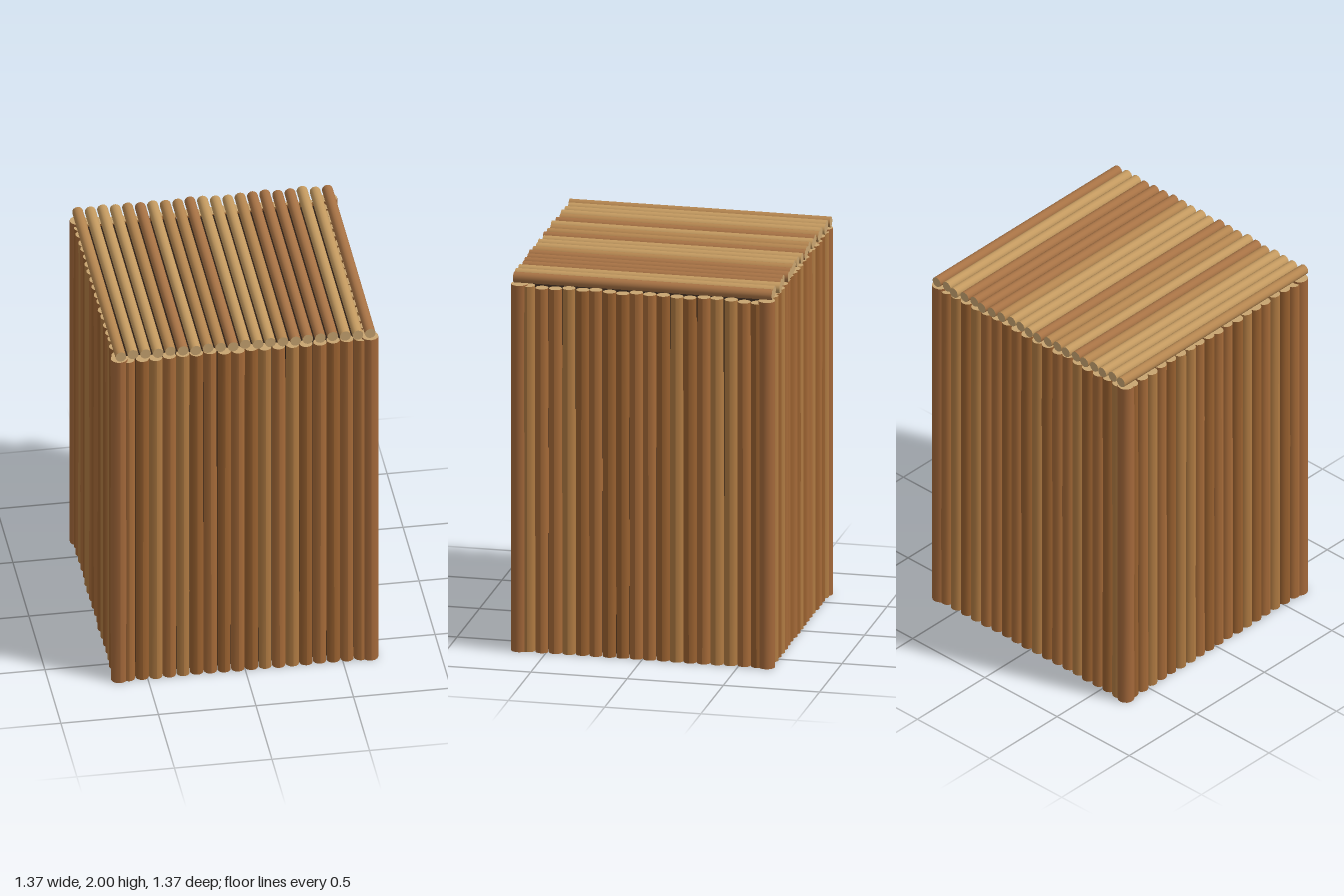
import * as THREE from 'three';

// Small seeded generator for natural variation between poles
function seeded(seed) {
  return () => {
    seed = (seed * 1664525 + 1013904223) % 4294967296;
    return seed / 4294967296;
  };
}

const paint = (color) => new THREE.MeshStandardMaterial({ color });

export function createModel() {
  const model = new THREE.Group();
  const rand = seeded(7);
  const jitter = (amount) => (rand() * 2 - 1) * amount;

  const wallBark = [0x98602f, 0xa56a38, 0xaf7a42].map(paint);
  const roofBark = [0xa87345, 0xb58650, 0xc49a60].map(paint);
  const postBark = paint(0xa3683a);
  const cutWood = paint(0xc8a470);

  // Upright pole whose foot is at the origin, with a barely uneven girth
  function pole(name, radius, length, bark) {
    const geometry = new THREE.CylinderGeometry(radius, radius, length, 14, 4);
    const p = geometry.attributes.position;
    const phase = rand() * 6.28;
    for (let i = 0; i < p.count; i++) {
      const s = 1 + 0.012 * Math.sin(p.getY(i) * 4 + phase) - 0.012;
      p.setX(i, p.getX(i) * s);
      p.setZ(i, p.getZ(i) * s);
    }
    geometry.translate(0, length / 2, 0);
    geometry.computeVertexNormals();
    const mesh = new THREE.Mesh(geometry, [bark, cutWood, cutWood]);
    mesh.name = name;
    return mesh;
  }

  // Dark solid core behind the poles
  const core = new THREE.Mesh(new THREE.BoxGeometry(1.22, 1.915, 1.22), paint(0x2c1e14));
  core.name = 'innerCore';
  core.position.y = 0.9625;
  model.add(core);

  // Four walls of upright poles
  const wallTones = ['102120101021201011', '211201001102012210', '120211010201120102', '012102210110201201'];
  wallTones.forEach((tones, side) => {
    const wall = new THREE.Group();
    wall.name = ['frontWall', 'leftWall', 'backWall', 'rightWall'][side];
    [...tones].forEach((tone, i) => {
      const stick = pole('wallPole', 0.0345, 1.93 + jitter(0.006), wallBark[tone]);
      stick.position.set((i - 8.5) * 0.07, 0, 0.64 + jitter(0.003));
      stick.rotation.z = jitter(0.001);
      wall.add(stick);
    });
    wall.rotation.y = side * Math.PI / 2;
    model.add(wall);
  });

  // Thicker corner posts
  for (const x of [-1, 1]) {
    for (const z of [-1, 1]) {
      const post = pole('cornerPost', 0.043, 1.94, postBark);
      post.position.set(x * 0.643, 0, z * 0.643);
      model.add(post);
    }
  }

  // Roof of thinner poles laid front to back
  const roof = new THREE.Group();
  roof.name = 'roof';
  [...'122210211022210000220'].forEach((tone, i) => {
    const length = 1.35 + jitter(0.012);
    const stick = pole('roofPole', 0.028, length, roofBark[tone]);
    stick.rotation.x = Math.PI / 2;
    stick.position.set((i - 10) * 0.064, 1.972, -length / 2 + jitter(0.005));
    roof.add(stick);
  });
  model.add(roof);

  return model;
}
